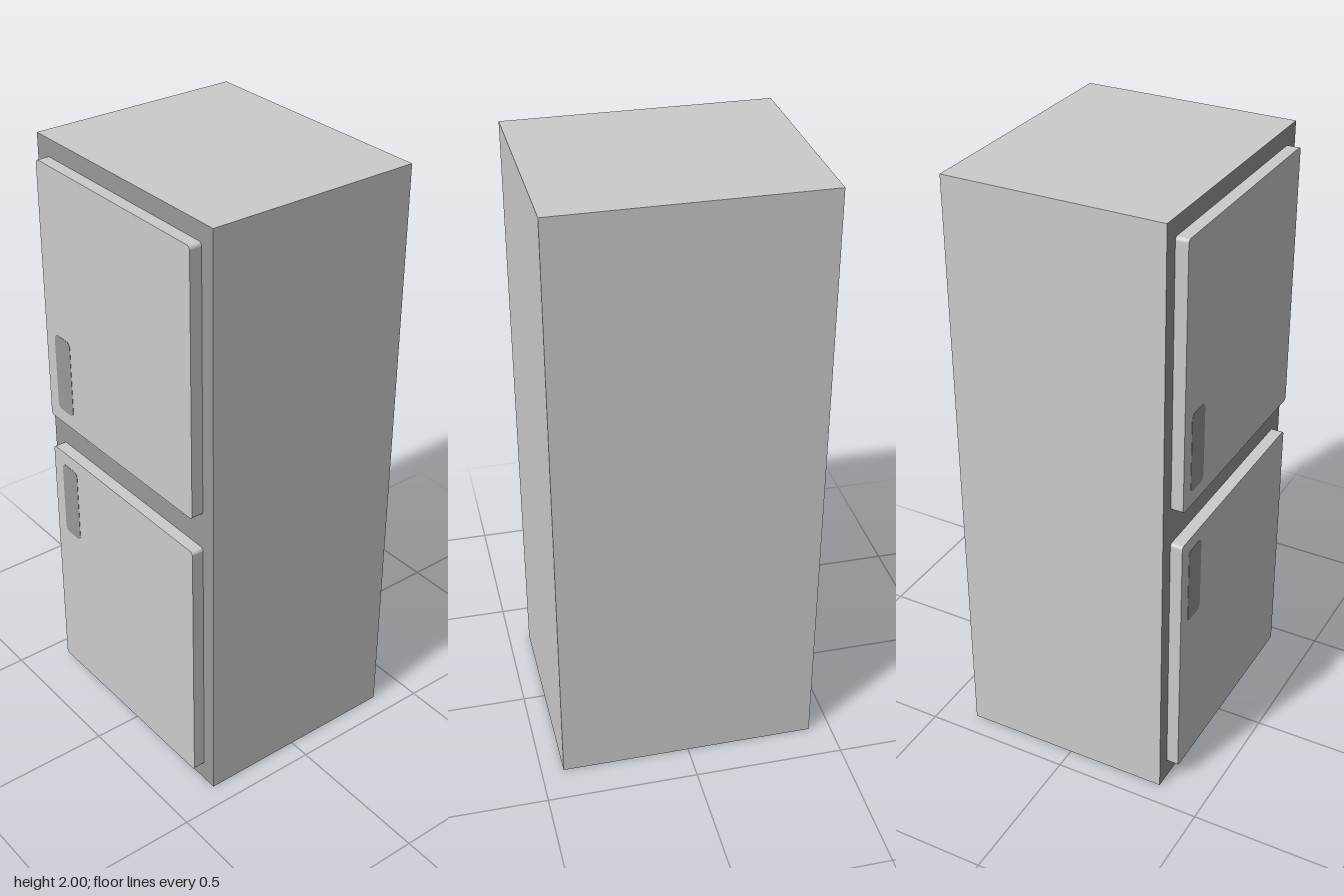
import * as THREE from 'three';

const lightGrey = new THREE.MeshStandardMaterial({ color: 0xcccccc });
lightGrey.name = 'light grey';
const darkGrey = new THREE.MeshStandardMaterial({ color: 0x999999 });
darkGrey.name = 'dark grey';

// Rectangle centred on the origin with rounded corners
function roundedRect(w, h, r) {
  const x = w / 2, y = h / 2;
  const s = new THREE.Shape();
  s.moveTo(-x + r, -y);
  s.lineTo(x - r, -y);
  s.absarc(x - r, -y + r, r, -Math.PI / 2, 0);
  s.lineTo(x, y - r);
  s.absarc(x - r, y - r, r, 0, Math.PI / 2);
  s.lineTo(-x + r, y);
  s.absarc(-x + r, y - r, r, Math.PI / 2, Math.PI);
  s.lineTo(-x, -y + r);
  s.absarc(-x + r, -y + r, r, Math.PI, Math.PI * 1.5);
  return s;
}

function plate(name, w, h, r, depth, material, x, y, z) {
  const geometry = new THREE.ExtrudeGeometry(roundedRect(w, h, r), {
    depth, bevelEnabled: false, curveSegments: 3,
  });
  const mesh = new THREE.Mesh(geometry, material);
  mesh.name = name;
  mesh.position.set(x, y, z);
  return mesh;
}

export function createModel() {
  const model = new THREE.Group();
  model.name = 'refrigerator';
  const frontZ = 0.336, doorDepth = 0.04;

  // Cabinet with a darker front face
  const cabinet = new THREE.Mesh(
    new THREE.BoxGeometry(0.854, 2, 0.712),
    [lightGrey, lightGrey, lightGrey, lightGrey, darkGrey, lightGrey]
  );
  cabinet.name = 'cabinet';
  cabinet.position.set(0, 1, frontZ - 0.356);
  model.add(cabinet);

  // Two doors, each with a flush painted handle
  const doors = [
    { name: 'upper', y: 1.502, handleY: 1.244 },
    { name: 'lower', y: 0.501, handleY: 0.761 },
  ];
  for (const { name, y, handleY } of doors) {
    model.add(
      plate(name + 'Door', 0.754, 0.88, 0.012, doorDepth, lightGrey, 0, y, frontZ),
      plate(name + 'Handle', 0.084, 0.268, 0.018, 0.002, darkGrey, -0.288, handleY, frontZ + doorDepth - 0.001)
    );
  }
  return model;
}
